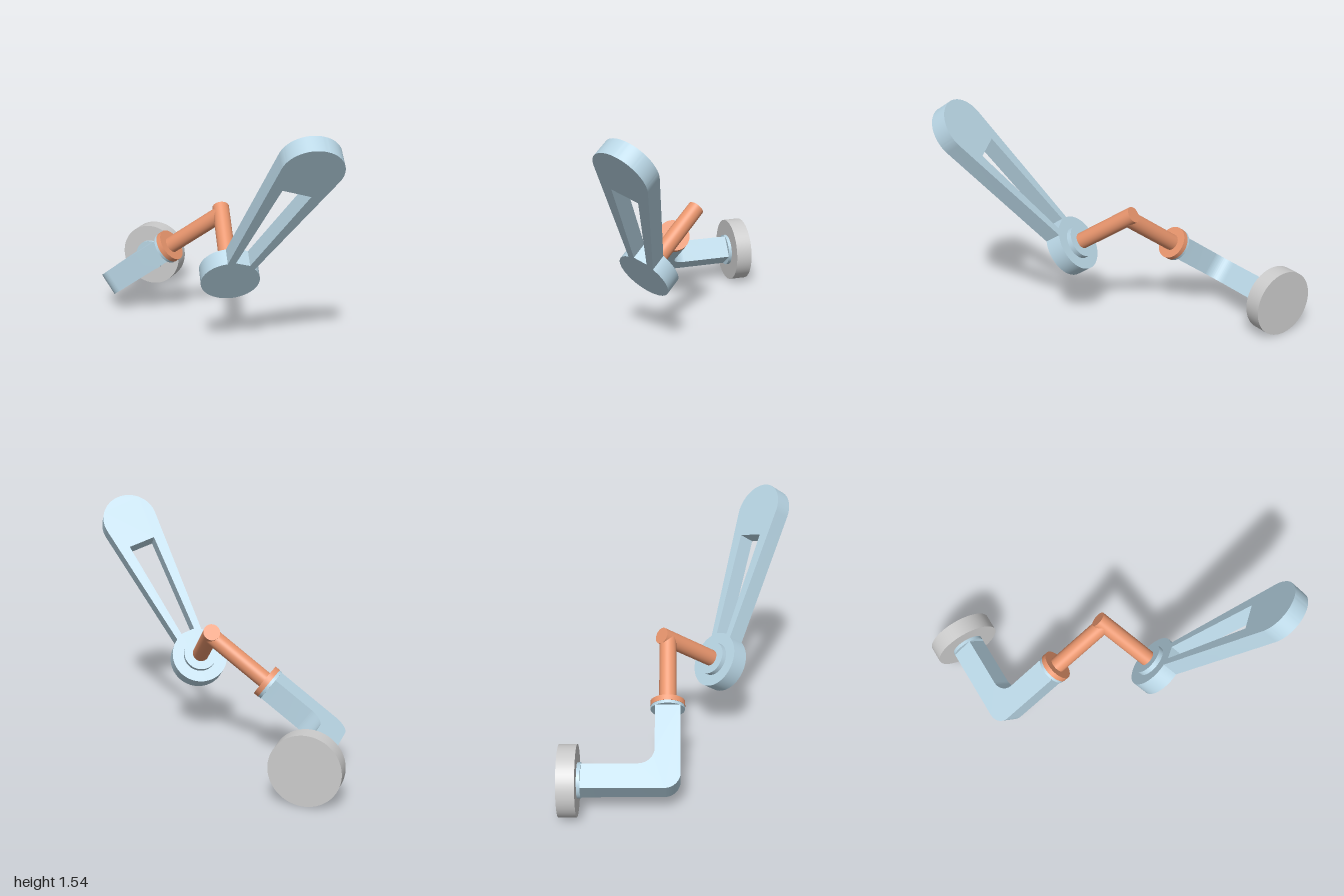
import * as THREE from 'three';
import { toCreasedNormals } from 'three/addons/utils/BufferGeometryUtils.js';

const grey = new THREE.MeshStandardMaterial({ color: 0xcccccc });
const blue = new THREE.MeshStandardMaterial({ color: 0xb8d5e4 });
const orange = new THREE.MeshStandardMaterial({ color: 0xe8956d });
const rad = THREE.MathUtils.degToRad;

function addMesh(parent, name, geometry, material) {
  const mesh = new THREE.Mesh(geometry, material);
  mesh.name = name;
  parent.add(mesh);
  return mesh;
}

// Cylinder running from a to b along the local x or z axis
function rod(parent, name, axis, radius, a, b, material) {
  const g = new THREE.CylinderGeometry(radius, radius, b - a, 64);
  if (axis === 'x') g.rotateZ(-Math.PI / 2).translate((a + b) / 2, 0, 0);
  else g.rotateX(Math.PI / 2).translate(0, 0, (a + b) / 2);
  return addMesh(parent, name, g, material);
}

// Extruded plate, centred on its own thickness
function plate(shape, depth) {
  const g = new THREE.ExtrudeGeometry(shape, { depth, bevelEnabled: false, curveSegments: 32 });
  g.translate(0, 0, -depth / 2);
  return toCreasedNormals(g, 0.3);
}

// L-shaped square arm: x along the outgoing leg, y along the leg to the base
function elbowShape(size, mid, backEnd, legEnd, r) {
  const h = size / 2;
  const s = new THREE.Shape();
  s.moveTo(-h, backEnd);
  s.lineTo(h, backEnd);
  s.lineTo(h, mid - h - r);
  s.absarc(h + r, mid - h - r, r, Math.PI, Math.PI / 2, true);
  s.lineTo(legEnd, mid - h);
  s.lineTo(legEnd, mid + h);
  s.lineTo(-h + r, mid + h);
  s.absarc(-h + r, mid + h - r, r, Math.PI / 2, Math.PI, false);
  s.closePath();
  return s;
}

// Paddle outline: round hub, widening rails, round tip, tapered window
function leverShape(hubR, tipR, length) {
  const hubAngle = Math.asin(0.092 / hubR);
  const tilt = Math.acos(-0.102);
  const s = new THREE.Shape();
  s.absarc(0, 0, hubR, hubAngle, Math.PI * 2 - hubAngle, false);
  s.absarc(length, 0, tipR, -tilt, tilt, false);
  s.closePath();
  const slot = new THREE.Path();
  slot.moveTo(0.185, -0.048);
  slot.lineTo(0.185, 0.048);
  slot.lineTo(0.895, 0.093);
  slot.lineTo(0.895, -0.093);
  slot.closePath();
  s.holes.push(slot);
  return s;
}

export function createModel() {
  const model = new THREE.Group();
  model.name = 'crankArm';

  // Everything hangs off the base axis, turned 36 degrees
  const arm = new THREE.Group();
  arm.name = 'armAssembly';
  arm.position.set(-0.78, 0.22, 0);
  arm.rotation.z = rad(36);
  model.add(arm);

  // Base disc and its collar
  rod(arm, 'baseDisc', 'z', 0.22, -0.741, -0.63, grey);
  rod(arm, 'baseCollar', 'z', 0.109, -0.63, -0.608, blue);

  // Square elbow arm
  const mid = -0.086;
  const elbow = plate(elbowShape(0.157, mid, -0.608, 0.465, 0.1), 0.157);
  elbow.rotateX(Math.PI / 2);
  addMesh(arm, 'elbowArm', elbow, blue);

  // Joint and first shaft
  const shaft = new THREE.Group();
  shaft.name = 'shaftAssembly';
  shaft.position.z = mid;
  arm.add(shaft);
  rod(shaft, 'elbowCollar', 'x', 0.107, 0.465, 0.485, blue);
  rod(shaft, 'shaftFlange', 'x', 0.109, 0.485, 0.52, orange);
  rod(shaft, 'firstShaft', 'x', 0.054, 0.52, 0.968, orange);

  // Second shaft, square to the first
  const head = new THREE.Group();
  head.name = 'leverAssembly';
  head.position.x = 0.968;
  head.rotation.x = rad(44);
  shaft.add(head);
  rod(head, 'secondShaft', 'z', 0.054, -0.055, 0.42, orange);
  rod(head, 'leverCollar', 'z', 0.11, 0.392, 0.426, blue);

  // Slotted lever
  const lever = addMesh(head, 'slottedLever', plate(leverShape(0.185, 0.185, 1.081), 0.113), blue);
  lever.position.z = 0.4825;
  lever.rotation.z = rad(24.1);

  return model;
}
